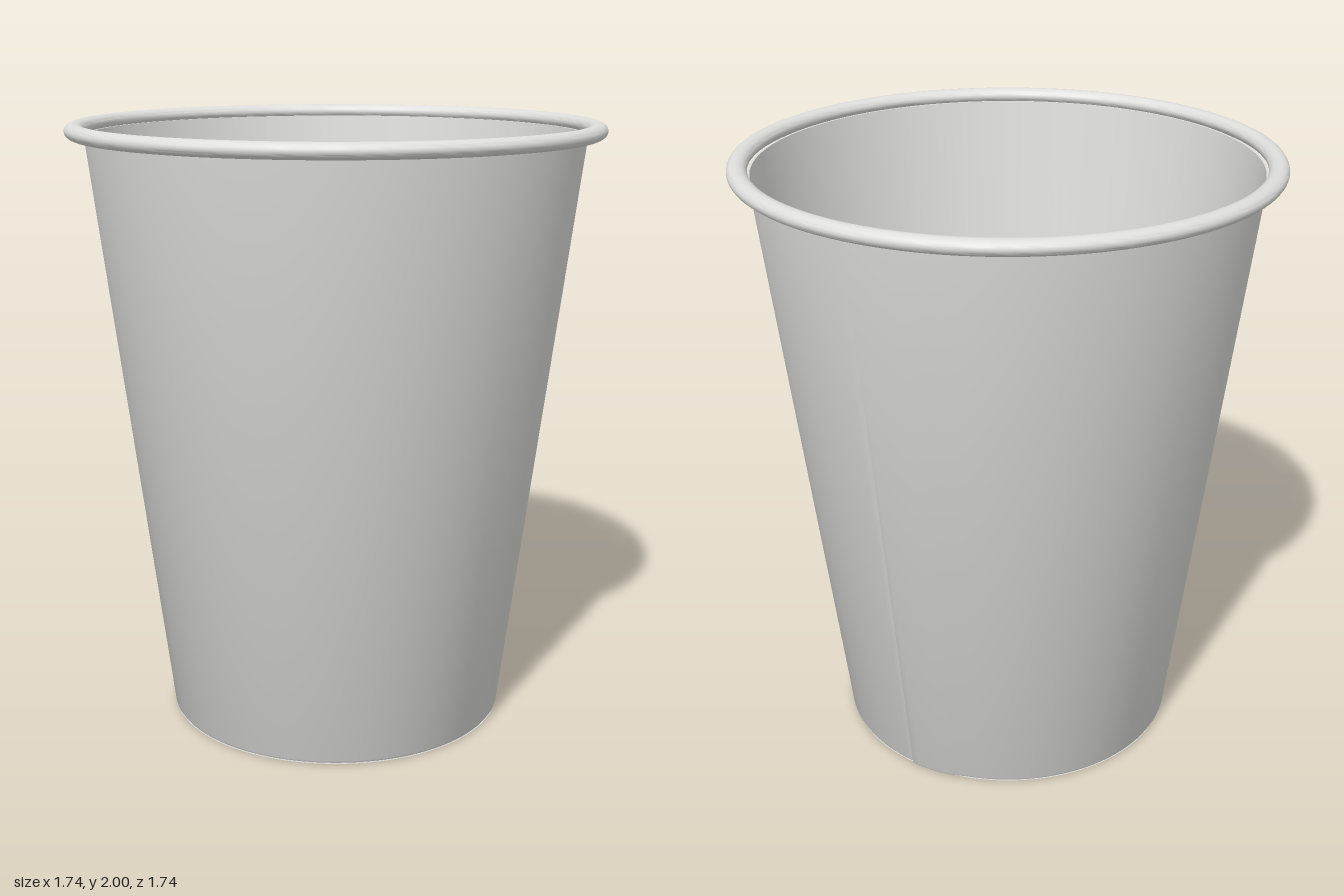
import * as THREE from 'three';
import { toCreasedNormals } from 'three/addons/utils/BufferGeometryUtils.js';

const SEGMENTS = 128;
const OVERLAP = 0.224; // angle covered by both ends of the rolled sheet
const STEP = 0.009; // how far the outer end sits off the inner end

const toPoints = (pairs) => pairs.map(([r, y]) => new THREE.Vector2(r, y));

function turned(name, profile, material, start = 0, length = Math.PI * 2, rule = null) {
  const geometry = new THREE.LatheGeometry(toPoints(profile), SEGMENTS, start, length);
  if (rule) rule(geometry, profile.length);
  const mesh = new THREE.Mesh(toCreasedNormals(geometry, 0.7), material);
  mesh.name = name;
  return mesh;
}

// Lift the first part of the sheet outwards so it laps over its other end
function liftOuterEnd(geometry, rows) {
  const position = geometry.attributes.position;
  for (let i = 0; i < position.count; i++) {
    const angle = (Math.floor(i / rows) / SEGMENTS) * (Math.PI * 2 + OVERLAP);
    const lift = STEP * (1 - THREE.MathUtils.smoothstep(angle, OVERLAP, OVERLAP * 1.6));
    const x = position.getX(i), z = position.getZ(i);
    const scale = 1 + lift / Math.hypot(x, z);
    position.setX(i, x * scale);
    position.setZ(i, z * scale);
  }
}

export function createModel() {
  const cup = new THREE.Group();
  cup.name = 'paperCup';

  const paper = new THREE.MeshStandardMaterial({ color: 0xdededc, side: THREE.DoubleSide });
  paper.name = 'white paper';

  // Tapered wall, a thin sheet rolled round with its seam at the back
  cup.add(turned('wall', [
    [0.557, 0.004], [0.561, 0.004], [0.566, 0.012], [0.809, 1.96],
    [0.801, 1.96], [0.557, 0.004],
  ], paper, Math.PI, Math.PI * 2 + OVERLAP, liftOuterEnd));

  // Rolled rim, slightly flattened
  const rim = [];
  for (let i = 0; i <= 20; i++) {
    const a = (i / 20) * Math.PI * 2;
    rim.push([0.839 + 0.032 * Math.cos(a), 1.975 + 0.025 * Math.sin(a)]);
  }
  cup.add(turned('rolledRim', rim, paper));

  // Raised floor with a skirt that folds down inside the foot
  cup.add(turned('floor', [
    [0.557, 0], [0.565, 0.118], [0.574, 0.13], [0.568, 0.132], [0, 0.132],
  ], paper));
  cup.add(turned('floorSkirt', [
    [0, 0.122], [0.558, 0.122], [0.55, 0], [0.561, 0],
  ], paper));

  return cup;
}
